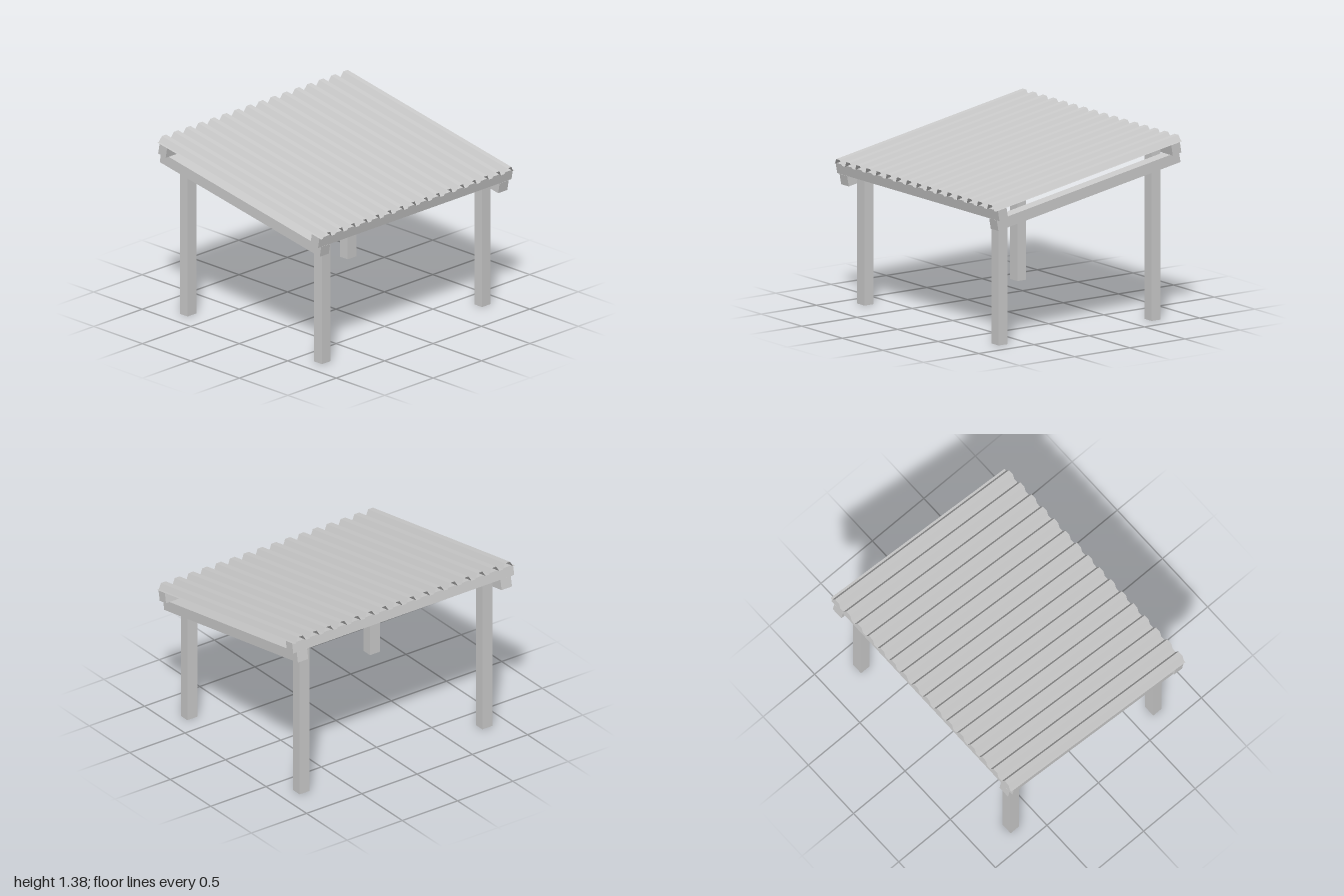
import * as THREE from 'three';

const material = new THREE.MeshStandardMaterial({ color: 0xcccccc, flatShading: true });
const sheetMaterial = new THREE.MeshStandardMaterial({ color: 0xcccccc, flatShading: true, side: THREE.DoubleSide });

function beam(parent, name, [w, h, d], [x, y, z]) {
  const mesh = new THREE.Mesh(new THREE.BoxGeometry(w, h, d), material);
  mesh.name = name;
  mesh.position.set(x, y, z);
  parent.add(mesh);
}

// Thin trapezoidal sheet: a ribbed profile across x, swept along z
function corrugatedSheet(ribs, width, length, height) {
  const pitch = width / ribs;
  const profile = [[-width / 2, 0]];
  for (let i = 0; i < ribs; i++) {
    const c = -width / 2 + (i + 0.5) * pitch;
    profile.push([c - 0.045, 0], [c - 0.022, height], [c + 0.022, height], [c + 0.045, 0]);
  }
  profile.push([width / 2, 0]);

  const positions = [];
  const f = length / 2, b = -length / 2;
  for (let i = 0; i < profile.length - 1; i++) {
    const [x0, y0] = profile[i], [x1, y1] = profile[i + 1];
    positions.push(x0, y0, f, x1, y1, f, x1, y1, b);
    positions.push(x0, y0, f, x1, y1, b, x0, y0, b);
  }
  const geometry = new THREE.BufferGeometry();
  geometry.setAttribute('position', new THREE.Float32BufferAttribute(positions, 3));
  geometry.computeVertexNormals();
  return geometry;
}

export function createModel() {
  const model = new THREE.Group();
  model.name = 'carport';

  // Roof frame, sloping down to the front
  const roof = new THREE.Group();
  roof.name = 'roof';
  roof.position.y = 1.1925;
  roof.rotation.x = THREE.MathUtils.degToRad(10.2);
  model.add(roof);

  for (const [side, s] of [['left', 1], ['right', -1]]) {
    // Upright posts, short at the front and tall at the back
    beam(model, side + 'FrontPost', [0.09, 0.99, 0.08], [s * 0.827, 0.495, 0.685]);
    beam(model, side + 'BackPost', [0.09, 1.3, 0.08], [s * 0.827, 0.65, -0.7]);
    // Rafters bolted to the outside of the posts
    beam(roof, side + 'Rafter', [0.094, 0.081, 1.676], [s * 0.922, -0.1215, 0.003]);
  }

  // Purlins carrying the sheet
  beam(roof, 'frontPurlin', [2, 0.08, 0.079], [0, -0.041, 0.8]);
  beam(roof, 'backPurlin', [2, 0.08, 0.079], [0, -0.041, -0.795]);

  // Roofing sheet
  const sheet = new THREE.Mesh(corrugatedSheet(16, 2, 1.717, 0.041), sheetMaterial);
  sheet.name = 'roofSheet';
  roof.add(sheet);

  return model;
}
